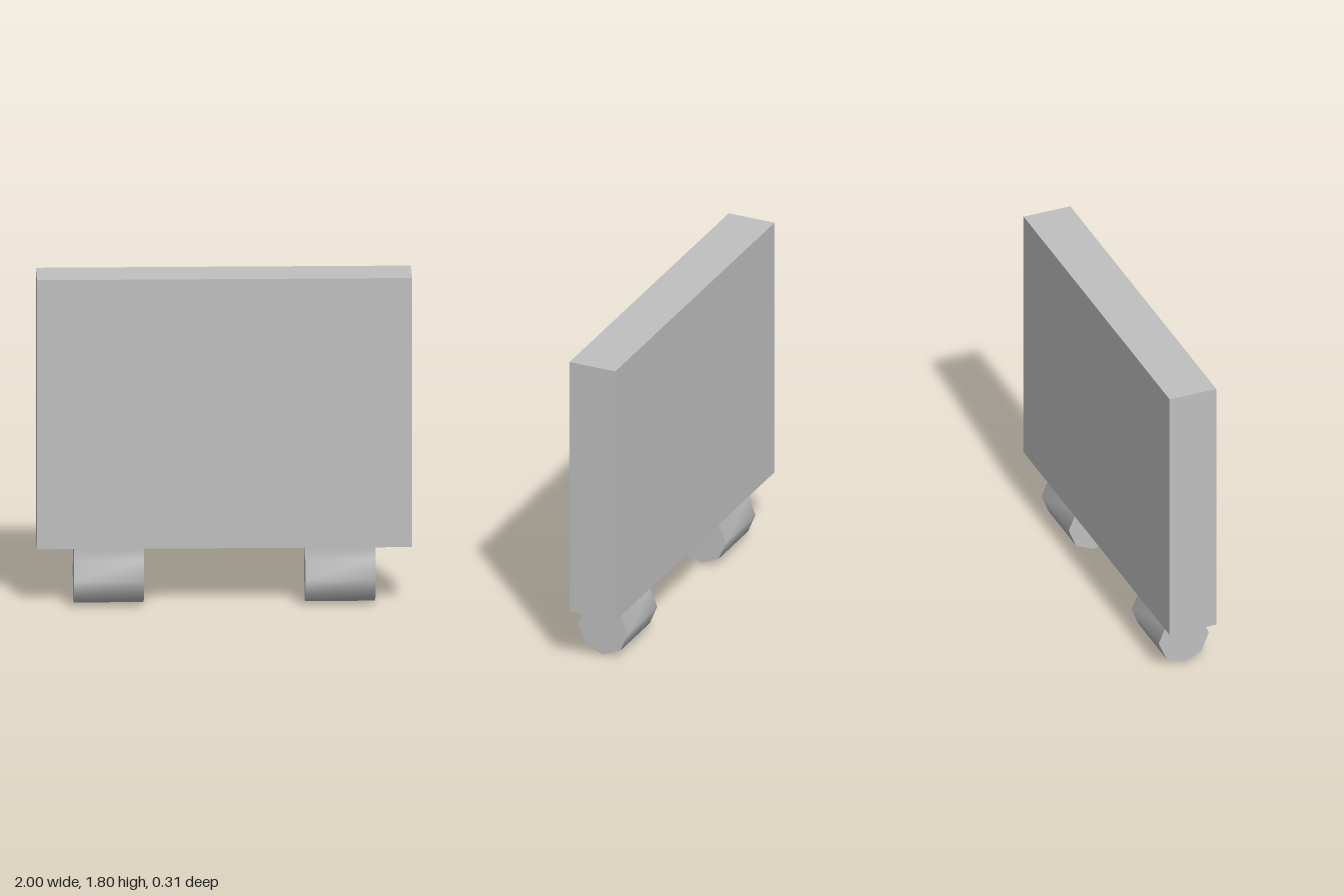
import * as THREE from 'three';
import { toCreasedNormals } from 'three/addons/utils/BufferGeometryUtils.js';

export function createModel() {
  const model = new THREE.Group();
  model.name = 'panelWithPegs';

  const grey = new THREE.MeshStandardMaterial({ color: 0xc0c0c0 });
  grey.name = 'light grey';

  // Upright slab
  const panel = new THREE.Mesh(new THREE.BoxGeometry(2, 1.48, 0.27), grey);
  panel.name = 'panel';
  panel.position.set(0, 1.06, -0.02);
  model.add(panel);

  // Peg cross-section as (z, y): a short neck over a faceted bulb
  const profile = [
    [0.112, 0.32], [0.112, 0.255], [0.155, 0.15], [0.112, 0.045], [0.01, 0],
    [-0.092, 0.045], [-0.135, 0.15], [-0.09, 0.255], [-0.09, 0.32],
  ].map(([z, y]) => new THREE.Vector2(z, y));
  const width = 0.374;
  const extruded = new THREE.ExtrudeGeometry(new THREE.Shape(profile), { depth: width, bevelEnabled: false });
  extruded.translate(0, 0, -width / 2);
  extruded.rotateY(-Math.PI / 2);
  const pegGeometry = toCreasedNormals(extruded, 1.1); // rounded sides, sharp ends

  // Pair of pegs under the slab
  for (const [name, side] of [['leftPeg', 1], ['rightPeg', -1]]) {
    const peg = new THREE.Mesh(pegGeometry, grey);
    peg.name = name;
    peg.position.x = side * 0.617;
    model.add(peg);
  }

  return model;
}
